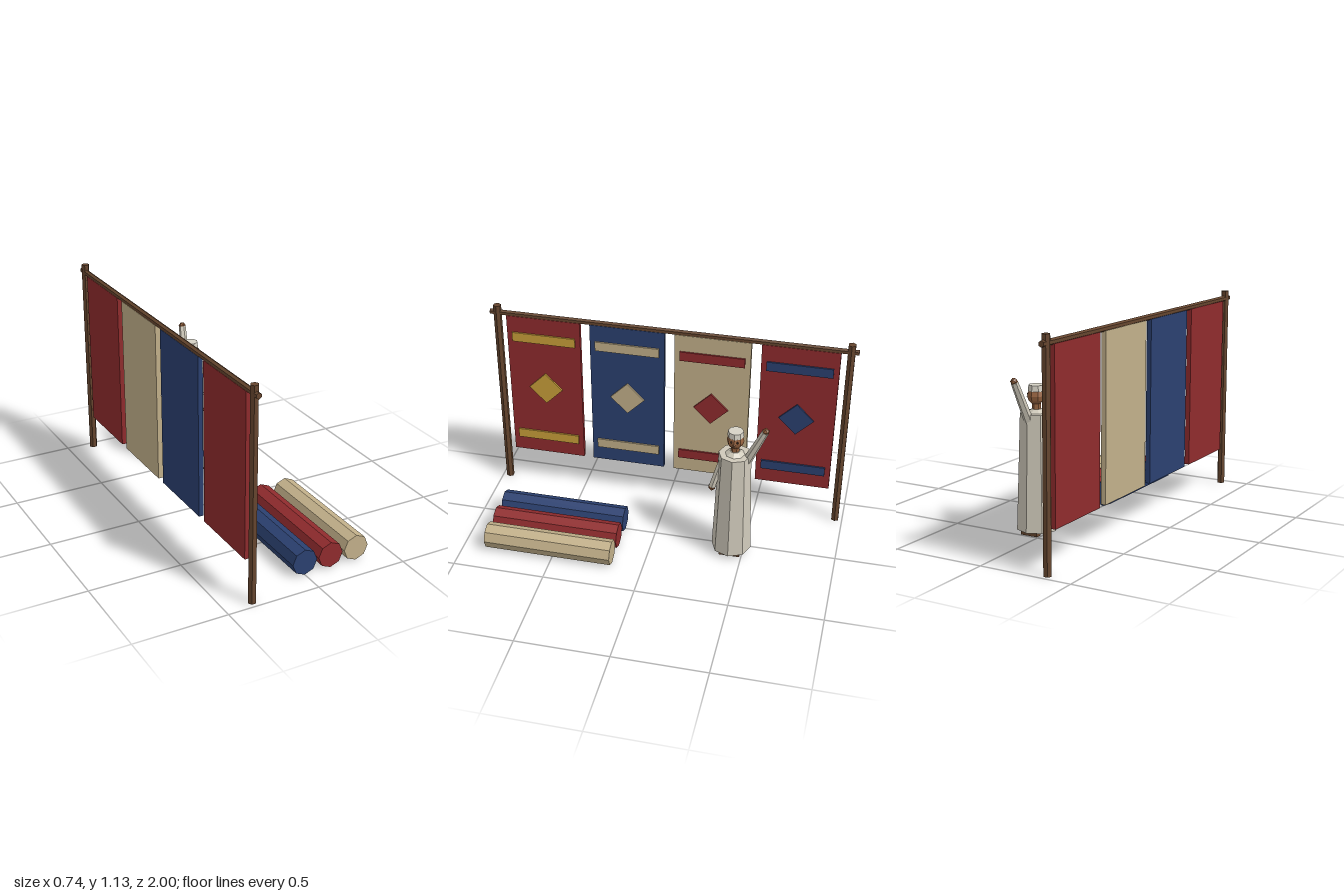
import * as THREE from 'three';

const mat = (name, color) => {
  const m = new THREE.MeshStandardMaterial({ color, flatShading: true });
  m.name = name;
  return m;
};

export function createModel() {
  const wood = mat('wood', 0x65452e);
  const red = mat('red cloth', 0x8f2b2d);
  const blue = mat('blue cloth', 0x2b4070);
  const cream = mat('cream cloth', 0xc2b08a);
  const gold = mat('gold cloth', 0xc9a03a);
  const robeCloth = mat('robe cloth', 0xcfc9ba);
  const capCloth = mat('cap cloth', 0xd6d2c6);
  const skin = mat('skin', 0x95623f);
  const dark = mat('dark', 0x3a2418);

  const model = new THREE.Group();
  model.name = 'carpetStall';

  const add = (parent, name, geometry, material, x = 0, y = 0, z = 0) => {
    const mesh = new THREE.Mesh(geometry, material);
    mesh.name = name;
    mesh.position.set(x, y, z);
    parent.add(mesh);
    return mesh;
  };

  // Hanging frame: two posts and a rail
  const frameX = -0.351;
  const frame = new THREE.Group();
  frame.name = 'frame';
  model.add(frame);
  for (const z of [-0.96, 0.96]) {
    const post = new THREE.CylinderGeometry(0.022, 0.022, 1.133, 6).rotateY(Math.PI / 6);
    add(frame, 'post', post, wood, frameX, 0.5665, z);
  }
  add(frame, 'rail', new THREE.CylinderGeometry(0.016, 0.016, 2, 6).rotateX(Math.PI / 2), wood, frameX, 1.09, 0);

  // Hanging carpets, each with two bands and a diamond on the +x side
  const carpets = [[0.702, red, gold], [0.234, blue, cream], [-0.234, cream, red], [-0.702, red, blue]];
  for (const [z, base, trim] of carpets) {
    const carpet = new THREE.Group();
    carpet.name = 'hangingCarpet';
    carpet.position.set(frameX, 0, z);
    model.add(carpet);
    add(carpet, 'carpetCloth', new THREE.BoxGeometry(0.026, 0.868, 0.413), base, 0, 0.646, 0);
    for (const y of [0.957, 0.325]) {
      add(carpet, 'band', new THREE.BoxGeometry(0.0095, 0.054, 0.354), trim, 0.0178, y, 0);
    }
    const diamond = new THREE.BoxGeometry(0.0095, 0.134, 0.134).rotateX(Math.PI / 4);
    add(carpet, 'diamond', diamond, trim, 0.0178, 0.646, 0);
  }

  // Rolled carpets on the ground
  [blue, red, cream].forEach((material, i) => {
    const roll = new THREE.CylinderGeometry(0.07, 0.07, 0.7, 8).rotateX(Math.PI / 2);
    add(model, 'rolledCarpet', roll, material, i * 0.15, 0.07, 0.52);
  });

  // Standing seller, facing +x
  const seller = new THREE.Group();
  seller.name = 'seller';
  seller.position.set(0.04, 0, -0.434);
  model.add(seller);

  const tube = (name, rTop, rBottom, y0, y1, material, sides = 8) =>
    add(seller, name, new THREE.CylinderGeometry(rTop, rBottom, y1 - y0, sides), material, 0, (y0 + y1) / 2, 0);

  tube('robeSkirt', 0.093, 0.107, 0.03, 0.43, robeCloth);
  tube('robeBody', 0.086, 0.093, 0.43, 0.637, robeCloth);
  tube('collar', 0.026, 0.052, 0.637, 0.655, robeCloth);
  tube('neck', 0.022, 0.022, 0.645, 0.7, skin, 6);
  tube('cap', 0.041, 0.044, 0.747, 0.778, capCloth);
  add(seller, 'head', new THREE.SphereGeometry(0.046, 8, 6), skin, 0.002, 0.722, 0);
  const nose = new THREE.ConeGeometry(0.012, 0.03, 4).rotateZ(-Math.PI / 2 - 0.4);
  add(seller, 'nose', nose, skin, 0.048, 0.716, 0);

  for (const side of [-1, 1]) {
    add(seller, 'eye', new THREE.SphereGeometry(0.006, 6, 4), dark, 0.04, 0.73, side * 0.016);
    add(seller, 'foot', new THREE.BoxGeometry(0.095, 0.035, 0.036), wood, 0.017, 0.0175, side * 0.039);
  }

  // Arms: tapered sleeve from shoulder to wrist, with a hand at the end
  const arm = (name, from, to, rShoulder, rWrist) => {
    const a = new THREE.Vector3(...from), b = new THREE.Vector3(...to);
    const dir = b.clone().sub(a);
    const group = new THREE.Group();
    group.name = name;
    seller.add(group);
    const sleeve = add(group, 'sleeve', new THREE.CylinderGeometry(rWrist, rShoulder, dir.length(), 6), robeCloth);
    sleeve.position.copy(a).add(b).multiplyScalar(0.5);
    sleeve.quaternion.setFromUnitVectors(new THREE.Vector3(0, 1, 0), dir.normalize());
    const hand = add(group, 'hand', new THREE.IcosahedronGeometry(0.02, 0), skin);
    hand.position.copy(b).addScaledVector(dir, 0.006);
  };
  arm('raisedLeftArm', [0.004, 0.6, -0.064], [0.028, 0.81, -0.155], 0.025, 0.019);
  arm('loweredRightArm', [0.003, 0.62, 0.058], [0.017, 0.42, 0.112], 0.017, 0.02);

  return model;
}
